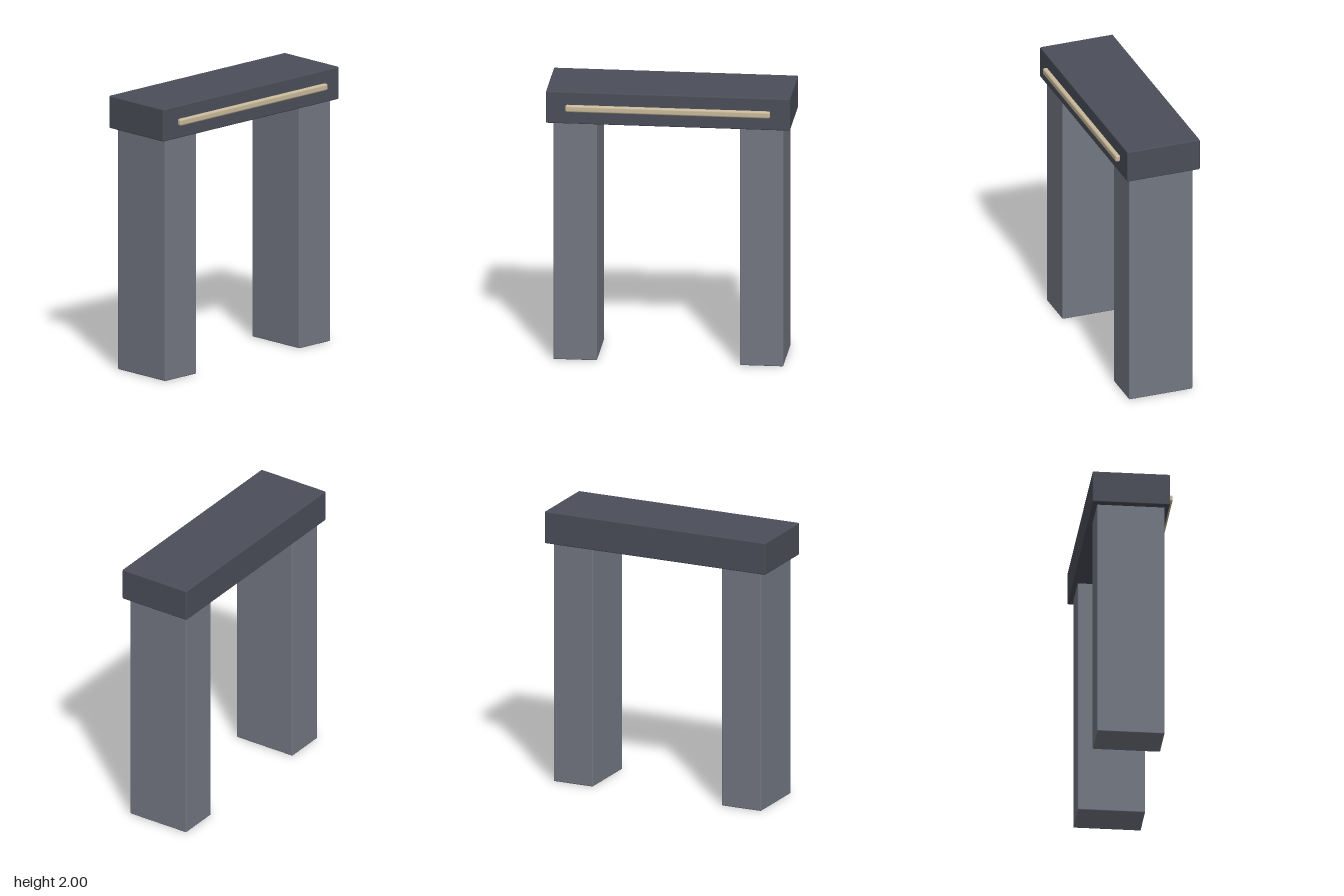
import * as THREE from 'three';
import { RoundedBoxGeometry } from 'three/addons/geometries/RoundedBoxGeometry.js';

const material = (name, color) => {
  const m = new THREE.MeshStandardMaterial({ color });
  m.name = name;
  return m;
};

// Softly bevelled block given by its size and centre
function block(name, mat, size, centre, radius) {
  const mesh = new THREE.Mesh(new RoundedBoxGeometry(...size, 3, radius), mat);
  mesh.name = name;
  mesh.position.set(...centre);
  return mesh;
}

export function createModel() {
  const group = new THREE.Group();
  group.name = 'gateway';
  const stone = material('grey stone', 0x737782);
  const darkStone = material('dark stone', 0x4b4e59);
  const brass = material('pale brass', 0xc8b99a);

  // Pair of upright pillars
  for (const [name, side] of [['leftPillar', 1], ['rightPillar', -1]]) {
    group.add(block(name, stone, [0.31, 1.77, 0.48], [side * 0.662, 0.885, -0.014], 0.008));
  }

  // Lintel overhanging the pillars
  group.add(block('lintel', darkStone, [1.736, 0.236, 0.55], [0, 1.882, -0.016], 0.008));

  // Rounded trim bar along the front of the lintel
  group.add(block('trimBar', brass, [1.456, 0.05, 0.037], [0, 1.883, 0.275], 0.014));

  return group;
}
